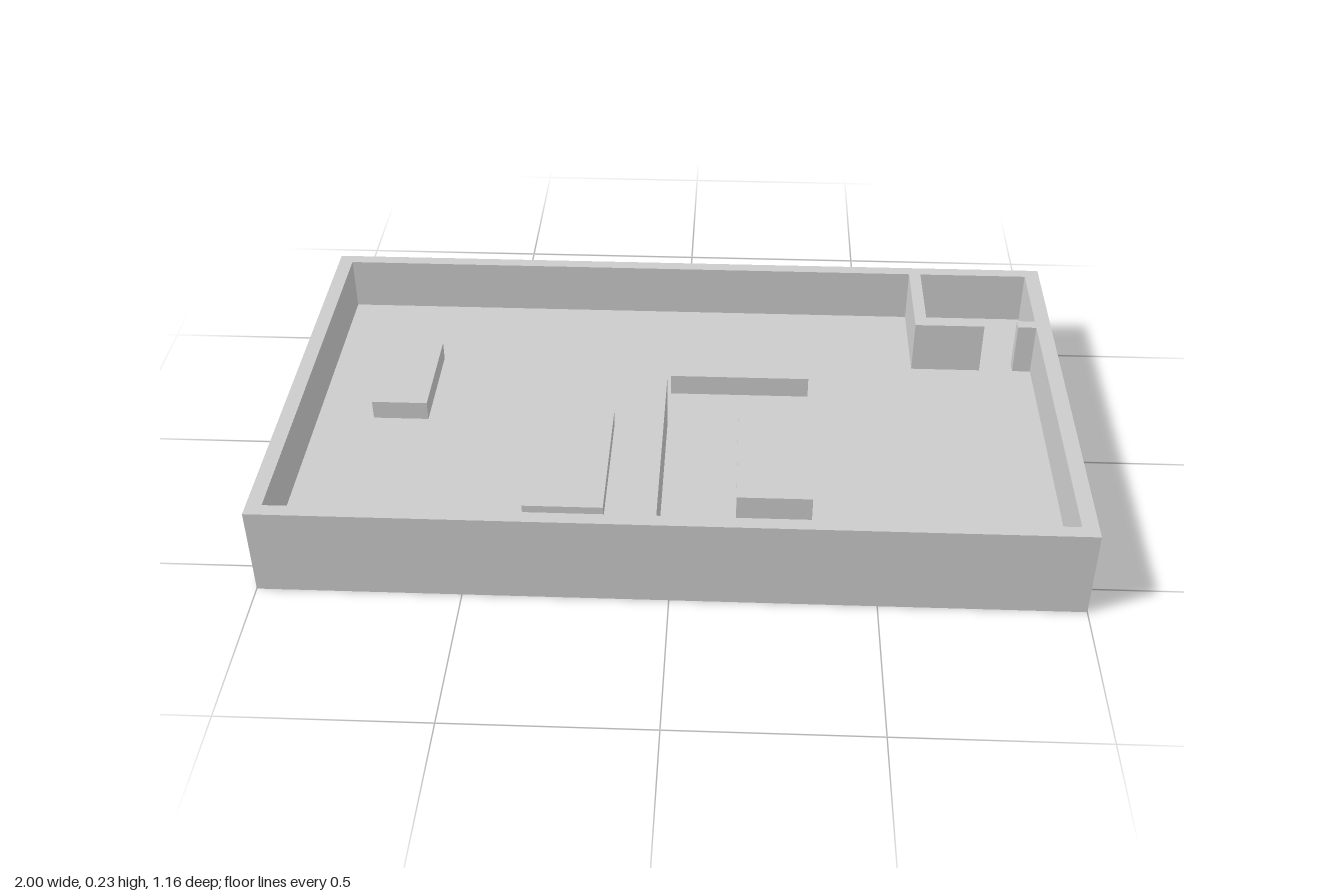
import * as THREE from 'three';

const FLOOR = 0.09, TOP = 0.235, HALF_DEPTH = 0.581;
const material = new THREE.MeshStandardMaterial({ color: 0xcccccc, flatShading: true });

export function createModel() {
  const group = new THREE.Group();
  group.name = 'floorPlan';

  const add = (name, geometry) => {
    const mesh = new THREE.Mesh(geometry, material);
    mesh.name = name;
    group.add(mesh);
  };

  // Box given by its extents on the plan and in height
  const block = (name, x0, x1, z0, z1, y0, y1) =>
    add(name, new THREE.BoxGeometry(x1 - x0, y1 - y0, z1 - z0)
      .translate((x0 + x1) / 2, (y0 + y1) / 2, (z0 + z1) / 2));

  // Plan points are [x, z]; the shape's y axis points to -z
  const toPlan = (points) => points.map(([x, z]) => new THREE.Vector2(x, -z));

  // Base slab
  block('floorSlab', -1, 1, -HALF_DEPTH, HALF_DEPTH, 0, FLOOR);

  // Outer walls, front divider and corner closet share one outline
  const walls = new THREE.Shape(toPlan([
    [-1, HALF_DEPTH], [1, HALF_DEPTH], [1, -HALF_DEPTH], [-1, -HALF_DEPTH],
  ]));
  walls.holes.push(new THREE.Path(toPlan([
    [-0.962, -0.548], [0.633, -0.548],
    // closet wall, doorway and door stub
    [0.633, -0.287], [0.82, -0.287], [0.82, -0.318], [0.665, -0.318], [0.665, -0.548],
    [0.96, -0.548], [0.96, -0.318], [0.911, -0.318], [0.911, -0.287], [0.96, -0.287],
    [0.96, 0.546],
    // divider
    [-0.03, 0.546], [-0.03, -0.005], [-0.073, -0.005], [-0.073, 0.546],
    [-0.962, 0.546],
  ])));
  add('walls', new THREE.ExtrudeGeometry(walls, { depth: TOP - FLOOR, bevelEnabled: false })
    .rotateX(-Math.PI / 2).translate(0, FLOOR, 0));

  // Furniture blocks
  block('sideBlock', -0.813, -0.667, -0.283, 0, FLOOR, 0.142);
  block('counterBlock', -0.027, 0.343, -0.284, -0.143, FLOOR, 0.148);
  block('lowBlock', -0.37, -0.17, 0.005, 0.397, FLOOR, 0.13);
  block('tallBlock', 0.157, 0.343, 0.005, 0.397, FLOOR, 0.174);

  return group;
}
